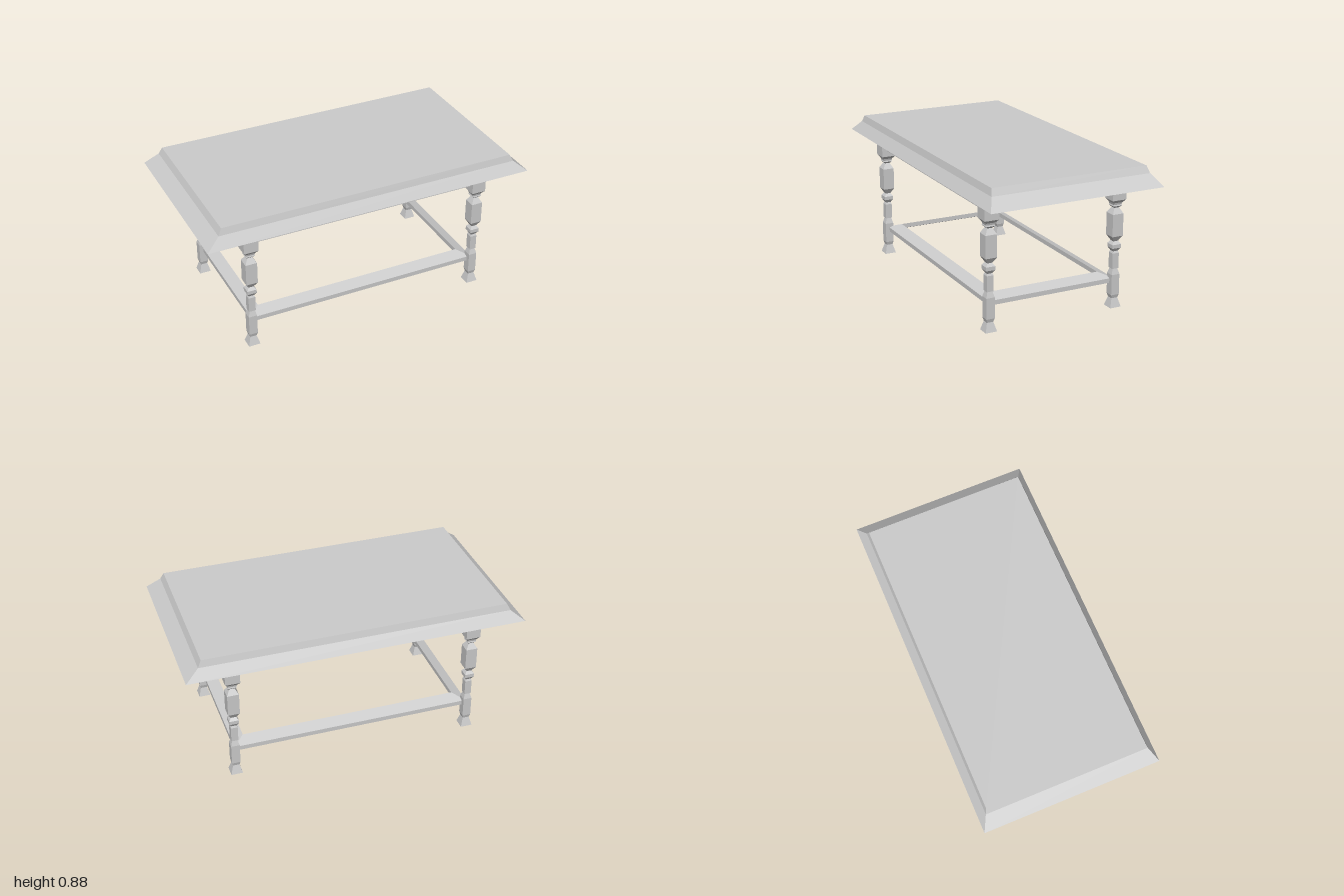
import * as THREE from 'three';

const material = new THREE.MeshStandardMaterial({ color: 0xcccccc, flatShading: true });
const CORNERS = [[1, 1], [1, -1], [-1, -1], [-1, 1]];

// Joins rectangular sections [halfX, halfZ, y] into a faceted solid.
// A ring returns to its first section instead of being capped.
function rectLoft(sections, ring = false) {
  const points = [];
  const corner = ([hx, hz, y], i) => {
    const [sx, sz] = CORNERS[i % 4];
    return [sx * hx, y, sz * hz];
  };
  const quad = (a, b, c, d) => points.push(...a, ...b, ...c, ...a, ...c, ...d);
  const path = ring ? [...sections, sections[0]] : sections;
  for (let s = 0; s < path.length - 1; s++) {
    for (let i = 0; i < 4; i++) {
      quad(corner(path[s], i), corner(path[s], i + 1), corner(path[s + 1], i + 1), corner(path[s + 1], i));
    }
  }
  if (!ring) {
    const top = sections[sections.length - 1];
    quad(...[0, 1, 2, 3].map((i) => corner(top, i)));
    quad(...[3, 2, 1, 0].map((i) => corner(sections[0], i)));
  }
  const geometry = new THREE.BufferGeometry();
  geometry.setAttribute('position', new THREE.Float32BufferAttribute(points, 3));
  geometry.computeVertexNormals();
  return geometry;
}

export function createModel() {
  const table = new THREE.Group();
  table.name = 'table';
  const add = (parent, name, geometry, x = 0, y = 0, z = 0) => {
    const mesh = new THREE.Mesh(geometry, material);
    mesh.name = name;
    mesh.position.set(x, y, z);
    parent.add(mesh);
  };

  // Top with a two-step bevelled edge
  add(table, 'tableTop', rectLoft([
    [1, 0.53, 0.772], [0.92, 0.488, 0.837], [0.9, 0.477, 0.877],
  ]));

  // Everything under the top sits slightly forward
  const base = new THREE.Group();
  base.name = 'base';
  base.position.z = 0.006;
  table.add(base);

  const legX = 0.723, legZ = 0.401, block = 0.0435;

  // Square turned legs: [half width, y]
  const legProfile = [
    [0.035, 0], [0.0195, 0.055], [0.0255, 0.076], [0.0255, 0.2], [0.0155, 0.235],
    [0.0205, 0.235], [0.0205, 0.328], [0.0155, 0.34], [0.028, 0.36], [0.028, 0.382],
    [0.015, 0.4], [0.0345, 0.433], [0.0345, 0.566], [0.015, 0.6], [0.0275, 0.612],
    [0.025, 0.62], [0.0285, 0.632], [block, 0.65], [block, 0.772],
  ];
  const legGeometry = rectLoft(legProfile.map(([w, y]) => [w, w, y]));
  for (const [sx, sz] of CORNERS) {
    const name = (sz > 0 ? 'front' : 'back') + (sx > 0 ? 'Left' : 'Right') + 'Leg';
    add(base, name, legGeometry, sx * legX, 0, sz * legZ);
  }

  // Apron boards between the leg blocks
  const longApron = new THREE.BoxGeometry(2 * (legX - block), 0.086, 0.02);
  const shortApron = new THREE.BoxGeometry(0.02, 0.086, 2 * (legZ - block));
  for (const s of [1, -1]) {
    add(base, s > 0 ? 'frontApron' : 'backApron', longApron, 0, 0.729, s * legZ);
    add(base, s > 0 ? 'leftApron' : 'rightApron', shortApron, s * legX, 0.729, 0);
  }

  // Mitred ring of stretcher planks, tilted down towards the outside
  const inset = 0.068;
  add(base, 'stretcherRing', rectLoft([
    [legX, legZ, 0.145], [legX, legZ, 0.172],
    [legX - inset, legZ - inset, 0.198], [legX - inset, legZ - inset, 0.171],
  ], true));

  return table;
}
